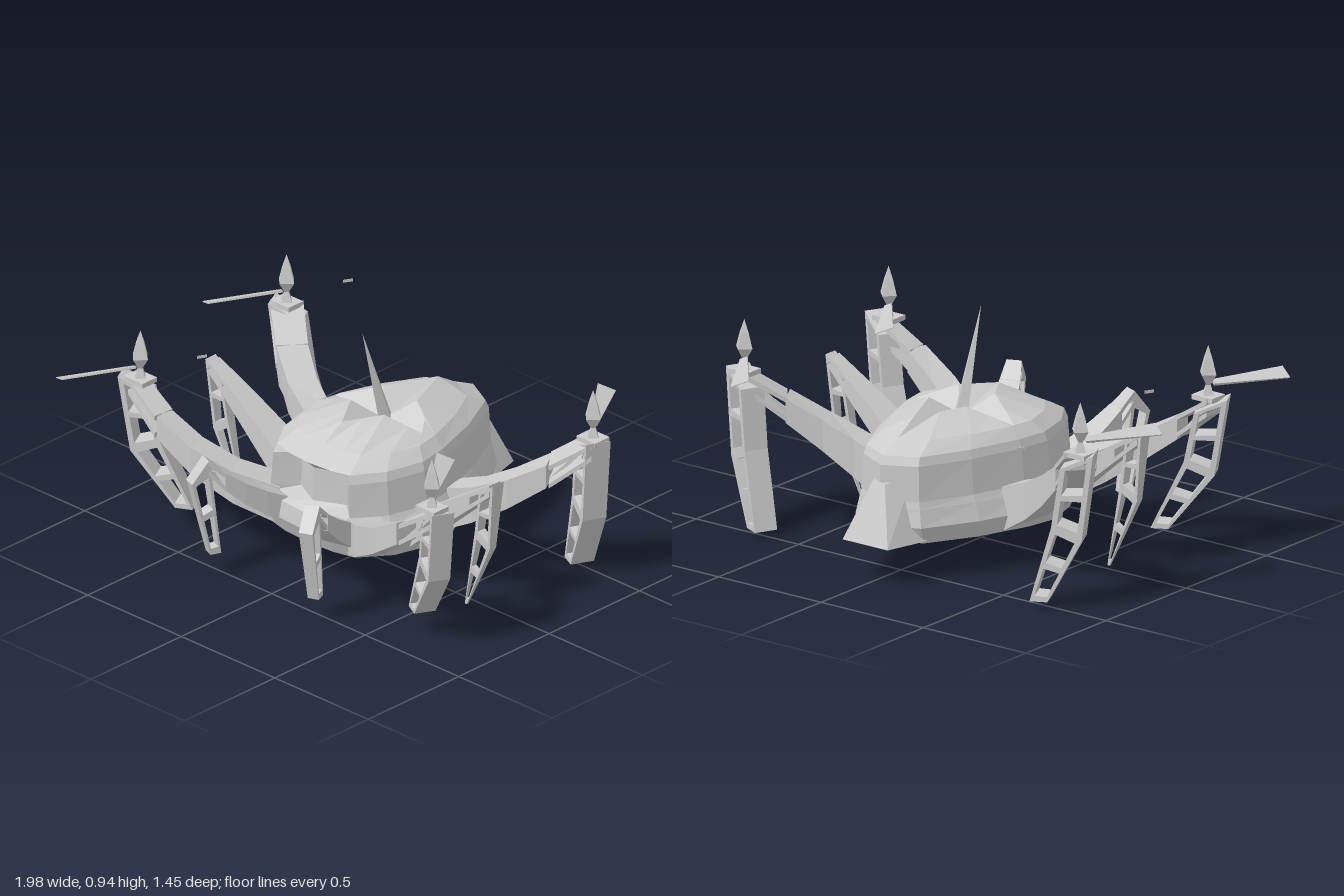
import * as THREE from 'three';

const grey = new THREE.MeshStandardMaterial({ color: 0xcccccc, flatShading: true, side: THREE.DoubleSide });
const V = (x, y, z) => new THREE.Vector3(x, y, z);
const lerp = THREE.MathUtils.lerp;

function mesh(parent, name, geometry) {
  const m = new THREE.Mesh(geometry, grey);
  m.name = name;
  parent.add(m);
  return m;
}

// Skin over closed rings (counter-clockwise seen from the end), capped to a centre point
function loft(rings, startCentre, endCentre) {
  const n = rings[0].length, pos = [];
  const tri = (...pts) => pts.forEach(p => pos.push(p.x, p.y, p.z));
  const mid = ring => ring.reduce((s, p) => s.add(p), V(0, 0, 0)).divideScalar(n);
  const first = rings[0], last = rings[rings.length - 1];
  const a = startCentre || mid(first), b = endCentre || mid(last);
  for (let j = 0; j < n; j++) {
    const k = (j + 1) % n;
    tri(a, first[k], first[j]);
    tri(last[j], last[k], b);
    for (let i = 0; i < rings.length - 1; i++) {
      tri(rings[i][j], rings[i][k], rings[i + 1][k]);
      tri(rings[i][j], rings[i + 1][k], rings[i + 1][j]);
    }
  }
  const g = new THREE.BufferGeometry();
  g.setAttribute('position', new THREE.Float32BufferAttribute(pos, 3));
  g.computeVertexNormals();
  return g;
}

// Half outline, front to back, completed on the other side
const mirrorRing = half => [...half, ...half.slice(1, -1).reverse().map(p => V(-p.x, p.y, p.z))];

// Box-section beam through stations { p, w, h }
function beam(stations) {
  return loft(stations.map(({ p, w, h }, i) => {
    const d = stations[Math.min(stations.length - 1, i + 1)].p.clone().sub(stations[Math.max(0, i - 1)].p);
    const side = V(d.z, 0, -d.x).normalize().multiplyScalar(w / 2);
    return [[-1, -1], [1, -1], [1, 1], [-1, 1]].map(([s, t]) =>
      p.clone().addScaledVector(side, s).add(V(0, t * h / 2, 0)));
  }));
}

// Bent shin plate with windows; bow and thick are given at top, bend and foot
function shinGeometry({ top, foot, bend, bow, thick, width, tip }) {
  const heights = [1, bend, 0];
  const outer = heights.map((t, i) => new THREE.Vector2(bow[i], lerp(foot, top, t)));
  const inner = heights.map((t, i) => new THREE.Vector2(bow[i] - thick[i], outer[i].y - (i < 2 ? -0.05 * i : 0.06)));
  inner[0].y = top - 0.06;
  inner[2].y = foot;
  const at = (i, t, k) => outer[i].clone().lerp(outer[i + 1], t).lerp(inner[i].clone().lerp(inner[i + 1], t), k);
  const shape = new THREE.Shape([...outer, ...inner.slice().reverse()]);
  for (let i = 0; i < 2; i++)
    for (const [a, b] of [[0.06, 0.46], [0.54, 0.92]])
      shape.holes.push(new THREE.Path([at(i, a, 0.17), at(i, a, 0.83), at(i, b, 0.83), at(i, b, 0.17)]));
  const g = new THREE.ExtrudeGeometry(shape, { depth: width, bevelEnabled: false });
  g.translate(0, 0, -width / 2);
  // narrow the plate toward the foot
  const p = g.attributes.position;
  for (let i = 0; i < p.count; i++) p.setZ(i, p.getZ(i) * lerp(tip, 1, p.getY(i) / top));
  g.computeVertexNormals();
  return g;
}

// Arm curve from hull to knee, shin hung below the knee and turned to face outward
function buildLeg({ from, via, knee, root, end, yaw, shin }) {
  const g = new THREE.Group();
  const curve = new THREE.QuadraticBezierCurve3(from, via, knee);
  const stations = curve.getPoints(4).map((p, i) =>
    ({ p, w: lerp(root[0], end[0], i / 4), h: lerp(root[1], end[1], i / 4) }));
  // solid thigh, then an open truss toward the knee
  mesh(g, 'thigh', beam(stations.slice(0, 4)));
  const offset = (st, t, w) => ({ p: st.p.clone().add(V(0, t * (st.h / 2 - 0.01), 0)), w, h: 0.02 });
  const [a, b] = stations.slice(3);
  for (const s of [-1, 1]) mesh(g, 'trussRail', beam([offset(a, s, a.w), offset(b, s, b.w)]));
  mesh(g, 'trussBrace', beam([offset(a, -1, 0.02), offset(b, 1, 0.02)]));
  const plate = mesh(g, 'shin', shinGeometry(shin));
  plate.position.set(knee.x, 0, knee.z);
  plate.rotation.y = -yaw;
  return g;
}

// Pad, spindle hub, one broad pitched blade, and a thin sliver for the opposite tip
function buildRotor(x, z, angle) {
  const g = new THREE.Group();
  mesh(g, 'rotorMount', new THREE.BoxGeometry(0.1, 0.02, 0.08)).position.y = -0.055;
  const profile = [[0.03, -0.05], [0.012, -0.005], [0.04, 0.04], [0.022, 0.1], [0, 0.155]];
  mesh(g, 'rotorHub', new THREE.LatheGeometry(profile.map(p => new THREE.Vector2(...p)), 4));
  const blades = new THREE.Group();
  const blade = mesh(blades, 'blade', beam([
    { p: V(0.02, 0, 0), w: 0.03, h: 0.01 }, { p: V(0.33, 0, 0), w: 0.075, h: 0.004 }]));
  blade.rotation.x = 0.35;
  const sliver = mesh(blades, 'tipSliver', new THREE.BoxGeometry(0.04, 0.012, 0.002));
  sliver.position.x = -0.25;
  blades.rotation.y = angle;
  g.add(blades);
  g.position.set(x, 0.685, z);
  return g;
}

function buildHull() {
  // half plan: blunt front, broad middle, tapering rear
  const plan = [[0, 0.335], [0.14, 0.325], [0.24, 0.3], [0.34, 0.17], [0.39, 0],
    [0.365, -0.14], [0.28, -0.37], [0.16, -0.58], [0, -0.65]];
  // height, width scale, length scale, depth of the face recess
  const levels = [[0.16, 0.93, 0.93, 0], [0.23, 1, 1, 0], [0.3, 0.92, 0.98, 0], [0.33, 0.88, 0.97, 0.1],
    [0.47, 0.84, 0.96, 0.1], [0.505, 0.81, 0.93, 0], [0.55, 0.7, 0.74, 0]];
  const rings = levels.map(([y, sx, sz, cut]) => mirrorRing(plan.map(([x, z], i) =>
    V(x * sx, y, -0.14 + (z + 0.14) * sz - (i === 0 ? cut / 2 : i === 1 ? cut : 0)))));
  // four-pointed hollow in the roof
  const star = [V(0, 0.61, 0.11), V(0.09, 0.62, -0.03), V(0.26, 0.545, -0.12), V(0.09, 0.615, -0.21), V(0, 0.61, -0.42)];
  rings.push(mirrorRing(star.flatMap((p, i) => i ? [star[i - 1].clone().lerp(p, 0.5), p] : [p])));
  return loft(rings, V(0, 0.137, -0.12), V(0, 0.54, -0.12));
}

function buildLegs() {
  const rotorShin = { top: 0.64, foot: 0.035, bend: 0.42, bow: [0.06, 0.015, -0.12], thick: [0.13, 0.12, 0.07], width: 0.1, tip: 0.95 };
  return {
    frontRotorLeg: buildLeg({
      from: V(0.22, 0.24, 0.22), via: V(0.48, 0.36, 0.48), knee: V(0.81, 0.6, 0.415),
      root: [0.13, 0.16], end: [0.08, 0.07], yaw: 0.49,
      shin: { ...rotorShin, foot: 0.105, bow: [0.06, 0.01, -0.17], width: 0.09 } }),
    rearRotorLeg: buildLeg({
      from: V(0.3, 0.25, -0.19), via: V(0.56, 0.355, -0.19), knee: V(0.82, 0.6, -0.43),
      root: [0.11, 0.18], end: [0.13, 0.07], yaw: 0.45, shin: rotorShin }),
    middleLeg: buildLeg({
      from: V(0.33, 0.24, 0.02), via: V(0.56, 0.42, 0.03), knee: V(0.75, 0.56, 0.042),
      root: [0.15, 0.14], end: [0.06, 0.05], yaw: 0.03,
      shin: { top: 0.59, foot: 0.01, bend: 0.5, bow: [0.02, -0.01, -0.15], thick: [0.08, 0.08, 0.01], width: 0.06, tip: 0.15 } }),
    frontLeg: buildLeg({
      from: V(0.18, 0.24, 0.25), via: V(0.235, 0.355, 0.47), knee: V(0.285, 0.49, 0.57),
      root: [0.15, 0.12], end: [0.06, 0.06], yaw: 1.18,
      shin: { top: 0.52, foot: 0.11, bend: 0.78, bow: [0, 0.07, -0.01], thick: [0.06, 0.08, 0.045], width: 0.06, tip: 0.7 } }),
  };
}

export function createModel() {
  const model = new THREE.Group();
  model.name = 'walkerDrone';
  mesh(model, 'hull', buildHull());

  // Wedge tail, widening toward the bottom
  const tailRing = (y, w, back, wb) => [V(-w, y, -0.54), V(w, y, -0.54), V(wb, y, back), V(-wb, y, back)];
  mesh(model, 'tail', loft([tailRing(0.17, 0.16, -0.725, 0.11), tailRing(0.4, 0.08, -0.64, 0.03)]));

  // Roof spike leaning forward
  const base = V(0, 0.53, -0.13), tip = V(0, 0.955, 0), lean = tip.clone().sub(base);
  const spike = mesh(model, 'spike', new THREE.ConeGeometry(0.034, lean.length(), 4));
  spike.position.copy(base).lerp(tip, 0.5);
  spike.quaternion.setFromUnitVectors(V(0, 1, 0), lean.normalize());

  for (const side of [1, -1]) {
    const label = side > 0 ? 'left ' : 'right ';
    for (const [name, leg] of Object.entries(buildLegs())) {
      leg.name = label + name;
      leg.scale.x = side;
      model.add(leg);
    }
    // blades point rearward on the left and forward on the right
    for (const [x, z] of [[0.78, 0.42], [0.82, -0.43]]) {
      const rotor = buildRotor(side * x, z, side > 0 ? 2.18 : -2.05);
      rotor.name = label + 'rotor';
      model.add(rotor);
    }
  }
  return model;
}
